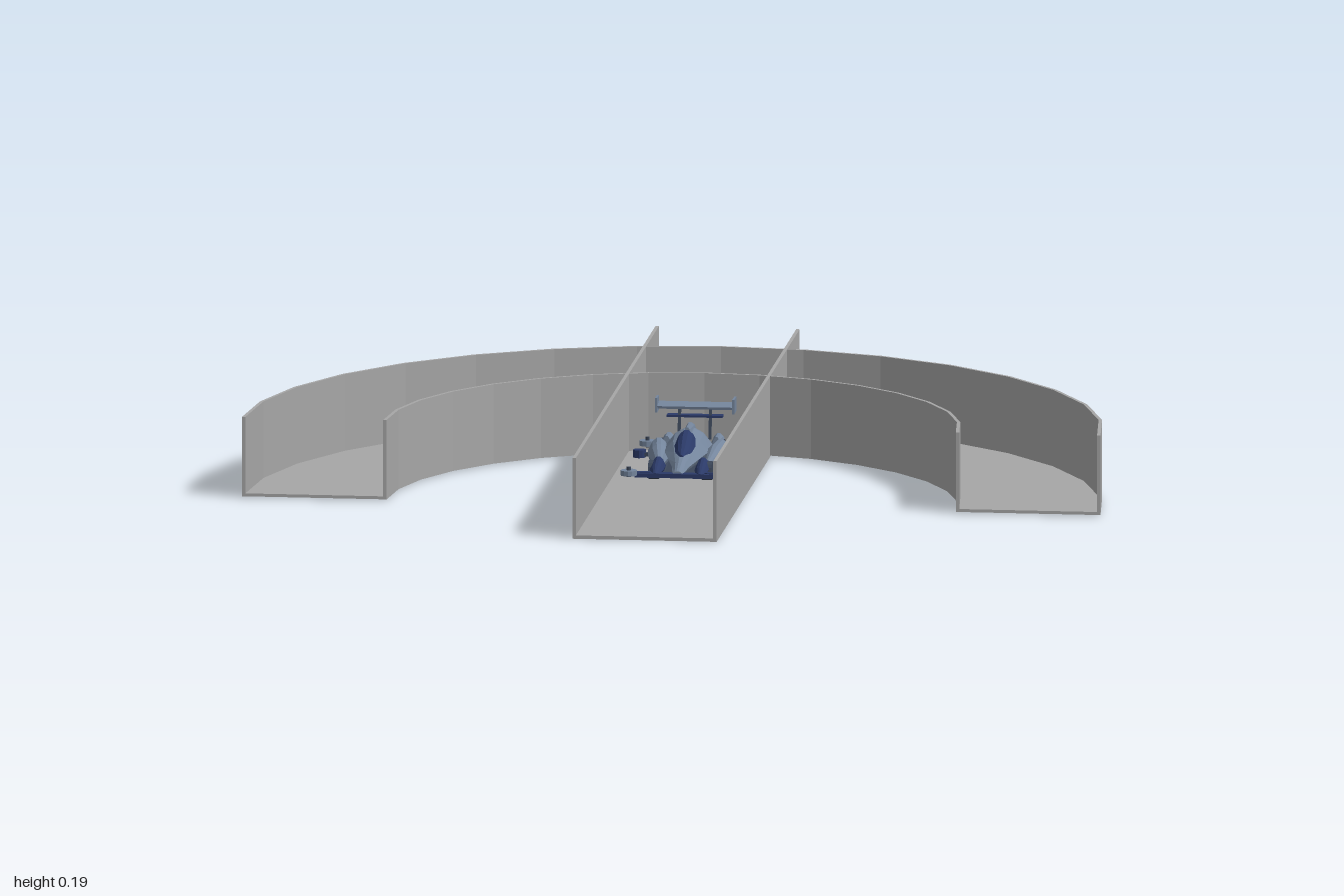
import * as THREE from 'three';

const material = (name, color, side = THREE.FrontSide) => {
  const m = new THREE.MeshStandardMaterial({ color, side });
  m.name = name;
  m.flatShading = true;
  return m;
};

// Loft along z from rows of [z, half width, bottom y, top y]
function loft(rows) {
  const section = [[-0.8, 0], [-1, 0.35], [-0.6, 0.8], [-0.2, 1], [0.2, 1], [0.6, 0.8], [1, 0.35], [0.8, 0]];
  const n = section.length, pos = [], idx = [];
  for (const [z, w, y0, y1] of rows)
    for (const [u, v] of section) pos.push(u * w, y0 + v * (y1 - y0), z);
  for (let r = 0; r < rows.length - 1; r++)
    for (let i = 0; i < n; i++) {
      const a = r * n + i, b = r * n + (i + 1) % n;
      idx.push(a, b, b + n, a, b + n, a + n);
    }
  const last = (rows.length - 1) * n;
  for (let i = 1; i < n - 1; i++) idx.push(0, i + 1, i, last, last + i, last + i + 1);
  const g = new THREE.BufferGeometry();
  g.setAttribute('position', new THREE.Float32BufferAttribute(pos, 3));
  g.setIndex(idx);
  g.computeVertexNormals();
  return g;
}

// Faceted half ring lying flat, arching towards -z
function halfRing(inner, outer, height) {
  const steps = 16, pts = [];
  const point = (r, i) => {
    const a = Math.PI * i / steps;
    return new THREE.Vector2(r * Math.cos(a), r * Math.sin(a));
  };
  for (let i = 0; i <= steps; i++) pts.push(point(outer, i));
  for (let i = steps; i >= 0; i--) pts.push(point(inner, i));
  const g = new THREE.ExtrudeGeometry(new THREE.Shape(pts), { depth: height, bevelEnabled: false });
  return g.rotateX(-Math.PI / 2);
}

export function createModel() {
  const model = new THREE.Group();
  const grey = material('track grey', 0xa6a6a6);
  const steel = material('steel blue', 0x74859c, THREE.DoubleSide);
  const navy = material('navy', 0x2b3a68, THREE.DoubleSide);
  const slate = material('dark slate', 0x3b4658);

  const add = (parent, name, geometry, mat, x = 0, y = 0, z = 0) => {
    const mesh = new THREE.Mesh(geometry, mat);
    mesh.name = name;
    mesh.position.set(x, y, z);
    parent.add(mesh);
    return mesh;
  };
  const box = (parent, name, size, mat, x, y, z) =>
    add(parent, name, new THREE.BoxGeometry(...size), mat, x, y, z);

  // Straight track
  const straight = new THREE.Group();
  straight.name = 'straightTrack';
  straight.position.x = -0.013;
  model.add(straight);
  box(straight, 'straightFloor', [0.336, 0.008, 1.645], grey, 0, 0.004, 0);
  for (const s of [-1, 1])
    box(straight, 'straightWall', [0.008, 0.19, 1.645], grey, s * 0.164, 0.095, 0);

  // Curved track
  const curve = new THREE.Group();
  curve.name = 'curvedTrack';
  curve.position.set(0, 0.003, 0.405);
  model.add(curve);
  add(curve, 'curveFloor', halfRing(0.663, 1, 0.007), grey);
  add(curve, 'curveOuterWall', halfRing(0.992, 1, 0.187), grey);
  add(curve, 'curveInnerWall', halfRing(0.663, 0.671, 0.187), grey);

  // Toy racing car, nose towards +z
  const car = new THREE.Group();
  car.name = 'racingCar';
  car.position.set(-0.012, 0.01, 0);
  model.add(car);

  add(car, 'chassis', loft([
    [-0.17, 0.05, 0.014, 0.03], [-0.1, 0.06, 0.012, 0.035],
    [0.08, 0.05, 0.012, 0.03], [0.17, 0.04, 0.014, 0.026]]), slate);
  add(car, 'body', loft([
    [-0.14, 0.03, 0.03, 0.06], [-0.11, 0.045, 0.028, 0.078], [-0.06, 0.055, 0.025, 0.088],
    [0, 0.052, 0.025, 0.08], [0.06, 0.036, 0.025, 0.06], [0.12, 0.02, 0.022, 0.045],
    [0.175, 0.012, 0.02, 0.03]]), steel);
  add(car, 'canopy', loft([
    [-0.03, 0.012, 0.06, 0.088], [0, 0.026, 0.05, 0.094],
    [0.03, 0.026, 0.045, 0.086], [0.07, 0.02, 0.04, 0.064], [0.1, 0.007, 0.035, 0.054]]), navy);
  add(car, 'spine', loft([
    [-0.15, 0.006, 0.05, 0.08], [-0.07, 0.014, 0.06, 0.1], [-0.015, 0.009, 0.07, 0.098]]), steel);

  // Front and rear bumpers
  box(car, 'frontBumper', [0.2, 0.01, 0.022], navy, 0, 0.02, 0.172);
  box(car, 'rearBumper', [0.2, 0.01, 0.018], slate, 0, 0.022, -0.178);

  // Rear wing, two blades
  box(car, 'rearWing', [0.18, 0.006, 0.034], steel, 0, 0.118, -0.182).rotation.x = 0.2;
  box(car, 'lowerWing', [0.13, 0.005, 0.022], navy, 0, 0.096, -0.172);

  for (const s of [-1, 1]) {
    // Side pods and fenders
    const pod = add(car, 'sidePod', loft([
      [-0.12, 0.012, 0.02, 0.04], [-0.07, 0.025, 0.018, 0.062],
      [-0.01, 0.026, 0.018, 0.058], [0.06, 0.01, 0.018, 0.035]]), steel, s * 0.064, 0, 0);
    pod.rotation.y = -s * 0.12;
    add(car, 'frontFender', loft([
      [0.07, 0.008, 0.02, 0.036], [0.11, 0.017, 0.02, 0.052],
      [0.15, 0.016, 0.02, 0.042], [0.18, 0.007, 0.018, 0.026]]), navy, s * 0.052, 0, 0);
    add(car, 'rearFender', loft([
      [-0.18, 0.008, 0.025, 0.04], [-0.15, 0.018, 0.025, 0.06], [-0.1, 0.012, 0.025, 0.06]]),
    steel, s * 0.058, 0, 0);

    // Wheels
    for (const [z, r] of [[0.115, 0.022], [-0.13, 0.025]]) {
      const wheel = add(car, 'wheel', new THREE.CylinderGeometry(r, r, 0.024, 14), slate, s * 0.062, r, z);
      wheel.rotation.z = Math.PI / 2;
    }

    // Side arm with damper
    box(car, 'sideArm', [0.04, 0.008, 0.014], slate, s * 0.095, 0.026, -0.048);
    add(car, 'sideDamper', new THREE.CylinderGeometry(0.015, 0.015, 0.018, 10), navy, s * 0.115, 0.028, -0.048);

    // Corner guide rollers
    for (const z of [-0.19, 0.182]) {
      add(car, 'guideRoller', new THREE.CylinderGeometry(0.019, 0.019, 0.012, 12), steel, s * 0.113, 0.026, z);
      add(car, 'rollerAxle', new THREE.CylinderGeometry(0.005, 0.005, 0.024, 8), slate, s * 0.113, 0.028, z);
      const arm = box(car, 'rollerArm', [0.05, 0.008, 0.014], z > 0 ? navy : slate, s * 0.088, 0.023, z * 0.95);
      arm.rotation.y = -s * Math.sign(z) * 0.3;
    }

    // Wing end plates and struts
    box(car, 'wingEndPlate', [0.005, 0.034, 0.042], steel, s * 0.09, 0.12, -0.182);
    box(car, 'wingStrut', [0.006, 0.075, 0.012], slate, s * 0.036, 0.08, -0.165).rotation.x = -0.25;
  }
  return model;
}
